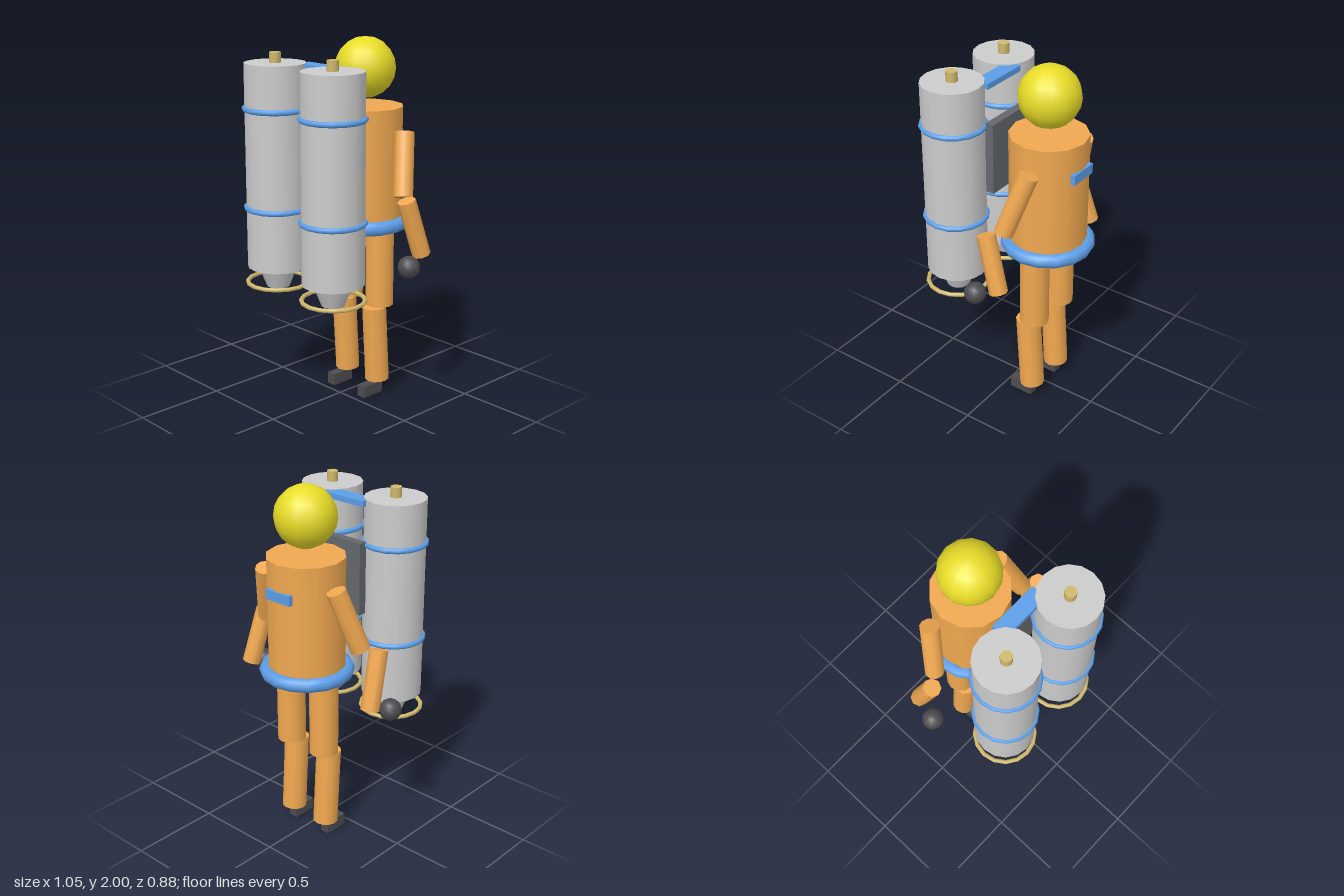
import * as THREE from 'three';

export function createModel() {
  const root = new THREE.Group();
  const mat = (color) => new THREE.MeshStandardMaterial({ color });
  const grey = mat(0xcccccc), orange = mat(0xf0a850), blue = mat(0x5c9ee8), yellow = mat(0xe8dc28);
  const brass = mat(0xd0b86c), dark = mat(0x4c4c50), slate = mat(0x64686c);

  const add = (name, geo, material, x, y, z, parent = root) => {
    const m = new THREE.Mesh(geo, material);
    m.name = name;
    m.position.set(x, y, z);
    parent.add(m);
    return m;
  };
  const ring = (name, radius, tube, material, x, y, z, parent) => {
    const m = add(name, new THREE.TorusGeometry(radius, tube, 8, 16), material, x, y, z, parent);
    m.rotation.x = Math.PI / 2;
    return m;
  };
  // cylinder running from point a to point b
  const limb = (name, a, b, r, sides, parent) => {
    const p = new THREE.Vector3(...a), q = new THREE.Vector3(...b);
    const dir = q.clone().sub(p);
    const mid = p.clone().add(q).multiplyScalar(0.5);
    const m = add(name, new THREE.CylinderGeometry(r, r, dir.length(), sides), orange, mid.x, mid.y, mid.z, parent);
    m.quaternion.setFromUnitVectors(new THREE.Vector3(0, -1, 0), dir.normalize());
    return m;
  };

  // body, centred on its own axis
  const bz = -0.186;
  add('torso', new THREE.CylinderGeometry(0.21, 0.21, 0.66, 12), orange, 0, 1.3, bz);
  ring('belt', 0.217, 0.039, blue, 0, 0.99, bz);
  add('head', new THREE.SphereGeometry(0.165, 14, 10), yellow, 0, 1.835, bz).rotation.y = Math.PI / 2;
  add('badge', new THREE.BoxGeometry(0.166, 0.055, 0.03), blue, 0, 1.457, -0.385);

  // limbs and pack halves, mirrored left and right
  for (const s of [1, -1]) {
    const side = s > 0 ? 'left' : 'right';
    const arm = new THREE.Group();
    arm.name = side + 'Arm';
    limb('upperArm', [s * 0.25, 1.51, -0.235], [s * 0.335, 1.185, -0.14], 0.053, 10, arm);
    limb('forearm', [s * 0.41, 1.19, -0.085], [s * 0.436, 0.885, -0.18], 0.05, 8, arm);
    add('hand', new THREE.SphereGeometry(0.06, 12, 8), dark, s * 0.467, 0.85, -0.05, arm);

    const leg = new THREE.Group();
    leg.name = side + 'Leg';
    limb('thigh', [s * 0.12, 0.98, bz], [s * 0.12, 0.525, bz], 0.08, 12, leg);
    limb('shin', [s * 0.12, 0.52, -0.147], [s * 0.12, 0.08, -0.175], 0.069, 12, leg);
    add('foot', new THREE.BoxGeometry(0.055, 0.066, 0.14), dark, s * 0.122, 0.033, -0.115, leg);

    const tank = new THREE.Group();
    tank.name = side + 'Tank';
    tank.position.set(s * 0.22, 0, 0.26);
    add('tankBody', new THREE.CylinderGeometry(0.166, 0.166, 1.11, 16), grey, 0, 1.325, 0, tank);
    add('valve', new THREE.CylinderGeometry(0.031, 0.031, 0.07, 10), brass, 0, 1.9, 0, tank);
    add('nozzle', new THREE.CylinderGeometry(0.11, 0.063, 0.12, 12), grey, 0, 0.713, 0, tank);
    for (const y of [1.64, 1.103]) ring('tankBand', 0.166, 0.015, blue, 0, y, 0, tank);
    ring('nozzleRing', 0.168, 0.012, brass, 0, 0.68, 0, tank);
    root.add(arm, leg, tank);
  }

  // plate and bar joining the tanks
  add('packPlate', new THREE.BoxGeometry(0.31, 0.4, 0.048), slate, 0, 1.46, 0.08);
  add('packBar', new THREE.BoxGeometry(0.28, 0.032, 0.086), blue, 0, 1.86, 0.137);

  return root;
}
